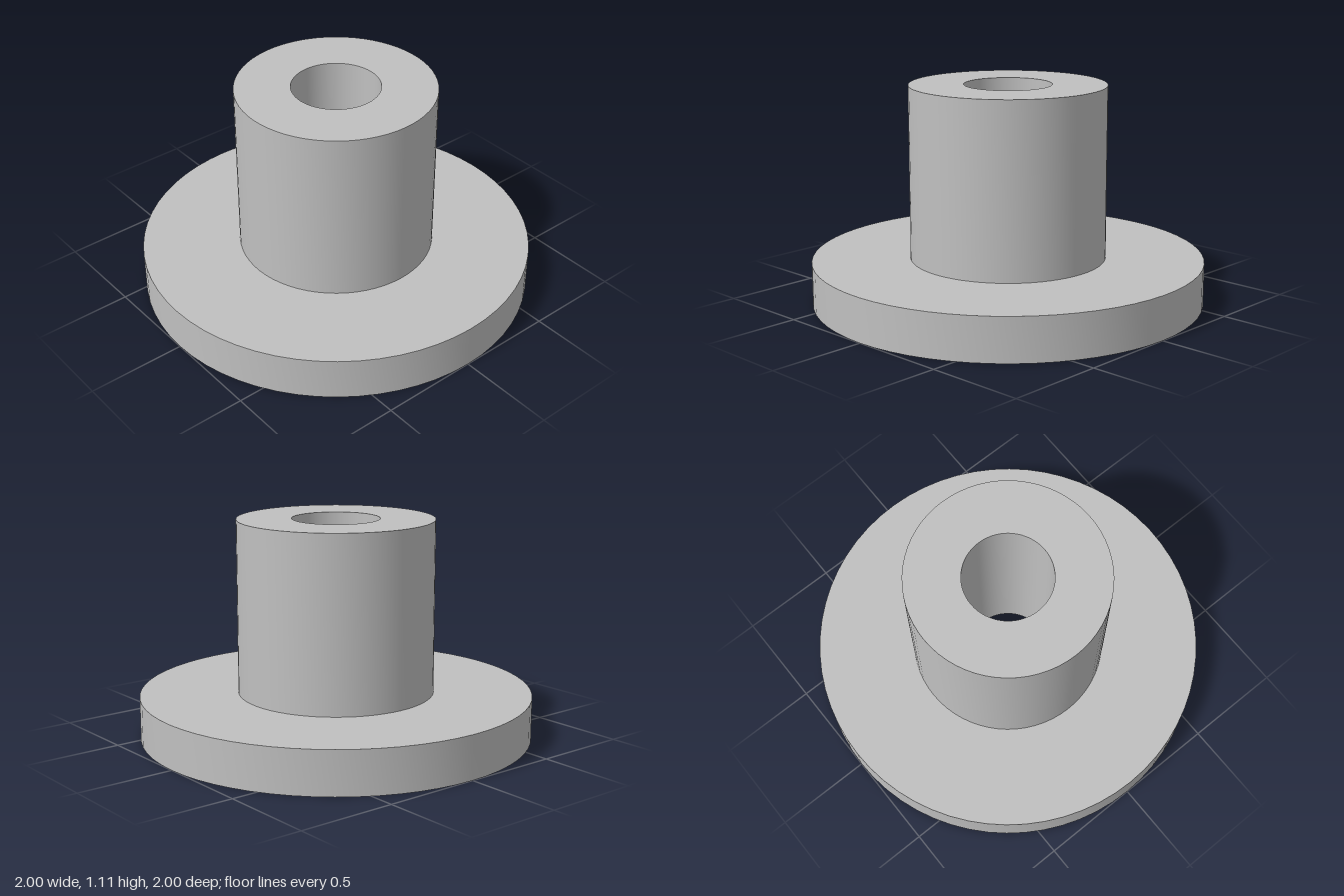
import * as THREE from 'three';
import { toCreasedNormals } from 'three/addons/utils/BufferGeometryUtils.js';

const BORE = 0.222, SLEEVE = 0.5, FLANGE = 1;
const FLANGE_TOP = 0.222, SLEEVE_TOP = 1.11;
const SEGMENTS = 64;

export function createModel() {
  const steel = new THREE.MeshStandardMaterial({ color: 0xc0c0c0 });
  steel.name = 'light grey steel';

  const group = new THREE.Group();
  group.name = 'flangedBushing';

  // Turn a [radius, height] profile about the y axis, keeping its corners sharp
  const turn = (name, profile) => {
    const points = profile.map(([r, y]) => new THREE.Vector2(r, y));
    const geometry = toCreasedNormals(new THREE.LatheGeometry(points, SEGMENTS), Math.PI / 6);
    const mesh = new THREE.Mesh(geometry, steel);
    mesh.name = name;
    group.add(mesh);
  };

  // Flange: underside, rim and the shoulder around the sleeve
  turn('flange', [[BORE, 0], [FLANGE, 0], [FLANGE, FLANGE_TOP], [SLEEVE, FLANGE_TOP]]);

  // Sleeve: outer wall, end ring and the bore running right through
  turn('sleeve', [[SLEEVE, FLANGE_TOP], [SLEEVE, SLEEVE_TOP], [BORE, SLEEVE_TOP], [BORE, 0]]);

  return group;
}
